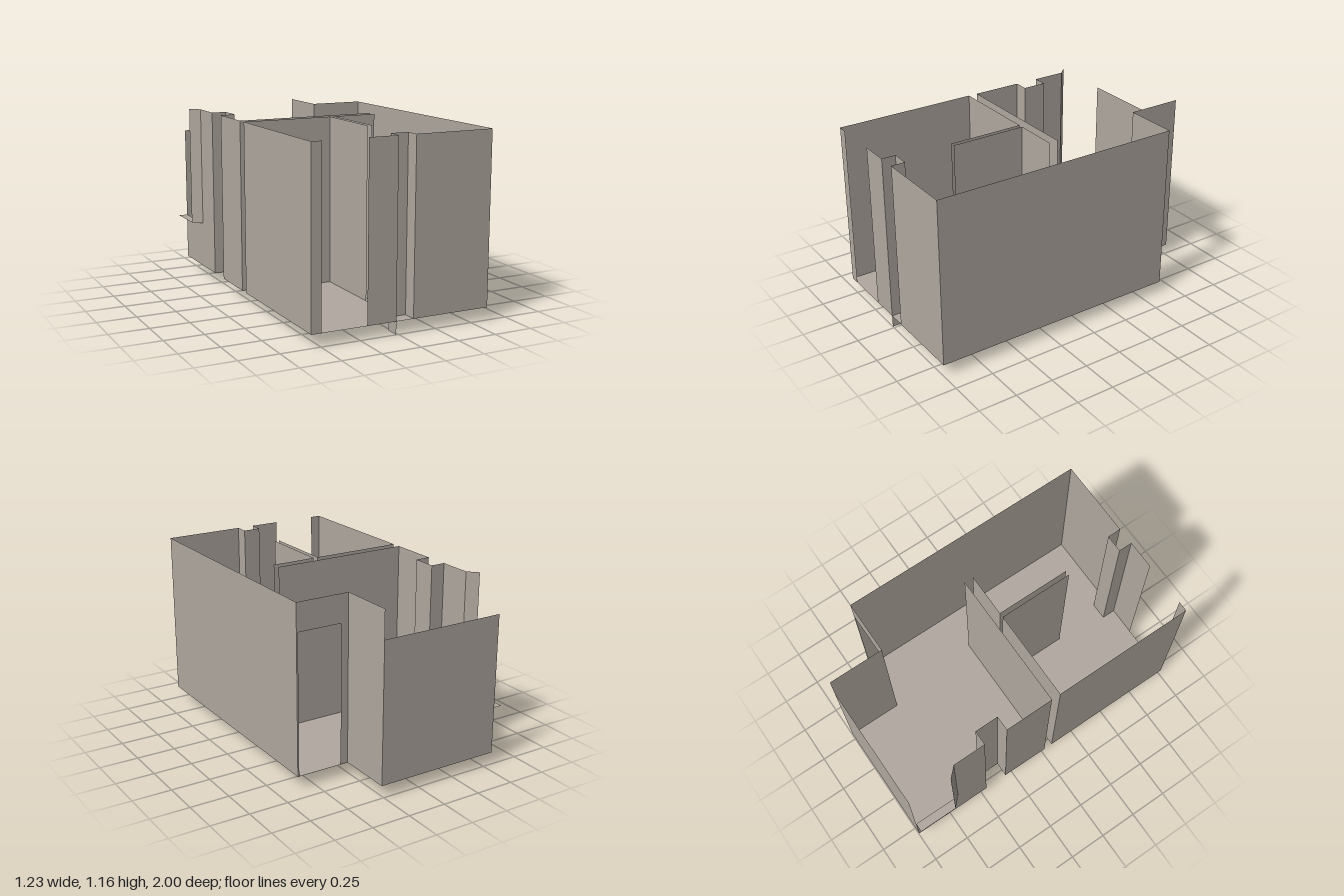
import * as THREE from 'three';

const FLOOR = 0.08, SILL = 0.38, LINTEL = 0.98, TOP = 1.16;

export function createModel() {
  const group = new THREE.Group();
  const plaster = new THREE.MeshStandardMaterial({ color: 0xb0a8a0, side: THREE.DoubleSide });
  plaster.name = 'warm grey plaster';

  const add = (name, geometry) => {
    const mesh = new THREE.Mesh(geometry, plaster);
    mesh.name = name;
    group.add(mesh);
    return mesh;
  };
  const outline = (points) => new THREE.Shape(points.map(([x, y]) => new THREE.Vector2(x, y)));

  // Flat horizontal sheet from [x, z] corners
  const slab = (name, points, y) => {
    add(name, new THREE.ShapeGeometry(outline(points)).rotateX(Math.PI / 2)).position.y = y;
  };

  // Run of thin upright panels along an [x, z] path
  const walls = (name, path, bottom = FLOOR, top = TOP) => {
    for (let i = 1; i < path.length; i++) {
      const [x0, z0] = path[i - 1], [x1, z1] = path[i];
      const panel = add(name, new THREE.PlaneGeometry(Math.hypot(x1 - x0, z1 - z0), top - bottom));
      panel.position.set((x0 + x1) / 2, (bottom + top) / 2, (z0 + z1) / 2);
      panel.rotation.y = -Math.atan2(z1 - z0, x1 - x0);
    }
  };

  // Floor, slotted where the hollow partitions stand
  slab('floor', [
    [-0.56, -1], [0.265, -1], [0.265, -0.64], [0.615, -0.64], [0.615, 1], [-0.56, 1],
    [-0.56, 0.07], [0.03, 0.07], [0.03, 0.56], [0.06, 0.56], [0.06, 0.07], [0.35, 0.07],
    [0.35, 0.01], [-0.56, 0.01], [-0.56, -0.31], [-0.465, -0.31], [-0.465, -0.465], [-0.56, -0.465],
  ], FLOOR);

  // Front wall with an opening and a shallow recess, and the long side wall
  walls('frontWall', [[-0.205, 1], [-0.015, 1]]);
  walls('recessSide', [[-0.015, 1], [-0.015, 0.91]], 0);
  walls('recess', [[-0.015, 0.91], [0.1, 0.91], [0.1, 1]]);
  walls('frontAndSideWall', [[0.1, 1], [0.615, 1], [0.615, -0.64]]);

  // Front corner, side wall and front face of the cross partition
  walls('cornerWall', [[-0.495, 1], [-0.56, 1], [-0.56, 0.07], [0.03, 0.07]]);
  walls('crossPartitionFront', [[0.06, 0.07], [0.35, 0.07]]);

  // Two faces of the dividing partition
  for (const x of [0.03, 0.06]) walls('dividingPartition', [[x, 0.07], [x, 0.56]]);

  // Rear face of the cross partition, notched side wall and splayed window jamb
  walls('crossPartitionRear', [[0.35, 0.01], [-0.56, 0.01]]);
  walls('notchedSideWall', [
    [-0.56, 0.01], [-0.56, -0.31], [-0.465, -0.31], [-0.465, -0.465], [-0.56, -0.465], [-0.56, -0.68],
  ]);
  walls('windowJamb', [[-0.56, -0.68], [-0.618, -0.74]], SILL);
  walls('windowParapet', [[-0.56, -0.68], [-0.56, -1]], FLOOR, SILL);
  slab('windowSill', [[-0.56, -1], [-0.618, -1], [-0.618, -0.74], [-0.56, -0.68]], SILL);

  // Lower back wall and its return
  walls('backWall', [[-0.56, -1], [0.265, -1]], FLOOR, LINTEL);
  walls('backReturn', [[0.265, -1], [0.265, -0.64]]);

  // Wall with a doorway cut out
  add('doorWall', new THREE.ShapeGeometry(outline([
    [0.265, FLOOR], [0.315, FLOOR], [0.315, LINTEL], [0.605, LINTEL],
    [0.605, FLOOR], [0.615, FLOOR], [0.615, TOP], [0.265, TOP],
  ]))).position.z = -0.64;

  return group;
}
